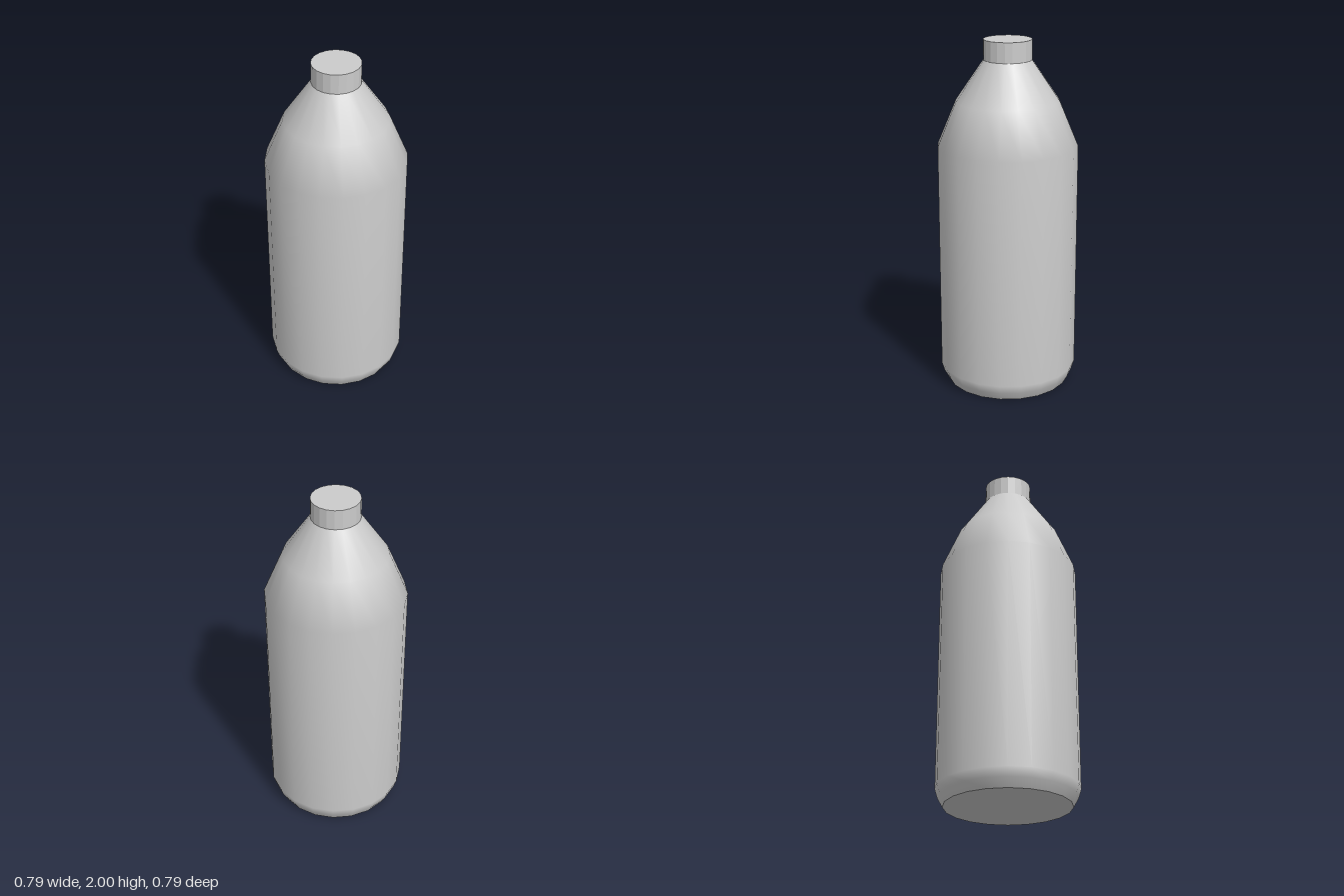
import * as THREE from 'three';

const SIDES = 20;

export function createModel() {
  const model = new THREE.Group();
  model.name = 'bottle';
  const smooth = new THREE.MeshStandardMaterial({ color: 0xcccccc });
  const faceted = new THREE.MeshStandardMaterial({ color: 0xcccccc, flatShading: true });

  const add = (name, geometry, material) => {
    const mesh = new THREE.Mesh(geometry, material);
    mesh.name = name;
    model.add(mesh);
    return mesh;
  };

  // Body: rounded foot, straight wall and sloping shoulder, as radius and height
  const profile = [
    [0.352, 0], [0.38, 0.05], [0.395, 0.1],
    [0.395, 1.41], [0.29, 1.66], [0.135, 1.887],
  ].map(([r, y]) => new THREE.Vector2(r, y));
  add('body', new THREE.LatheGeometry(profile, SIDES), smooth);

  // Flat base, meeting the body at a sharp edge
  const base = add('base', new THREE.CircleGeometry(0.352, SIDES), smooth);
  base.rotation.x = Math.PI / 2;

  // Faceted cap on the neck
  const cap = add('cap', new THREE.CylinderGeometry(0.135, 0.135, 0.115, SIDES), faceted);
  cap.position.y = 2 - 0.115 / 2;

  return model;
}
